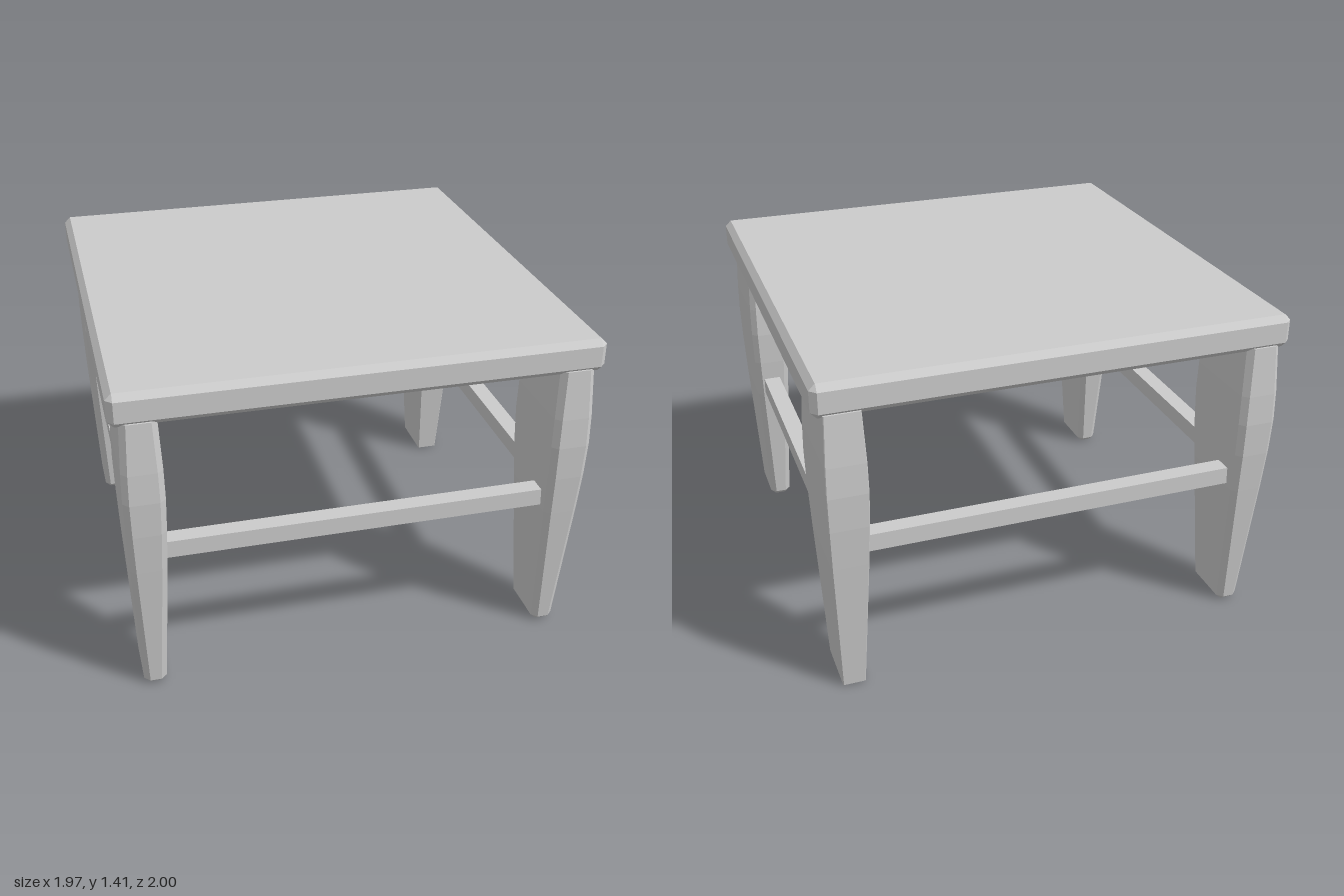
import * as THREE from 'three';

const material = new THREE.MeshStandardMaterial({ color: 0xcccccc, flatShading: true });

// Solid through stacked rectangles with cut corners; each section is [y, halfX, halfZ, cornerCut]
function loft(sections) {
  const positions = [], index = [];
  for (const [y, hx, hz, c] of sections) {
    const ring = [
      [hx, hz - c], [hx, c - hz], [hx - c, -hz], [c - hx, -hz],
      [-hx, c - hz], [-hx, hz - c], [c - hx, hz], [hx - c, hz],
    ];
    for (const [x, z] of ring) positions.push(x, y, z);
  }
  const top = (sections.length - 1) * 8;
  for (let s = 0; s < top; s += 8) {
    for (let i = 0; i < 8; i++) {
      const a = s + i, b = s + (i + 1) % 8;
      index.push(a, b, b + 8, a, b + 8, a + 8);
    }
  }
  for (let i = 1; i < 7; i++) {
    index.push(0, i + 1, i);
    index.push(top, top + i, top + i + 1);
  }
  const indexed = new THREE.BufferGeometry();
  indexed.setAttribute('position', new THREE.Float32BufferAttribute(positions, 3));
  indexed.setIndex(index);
  const geometry = indexed.toNonIndexed();
  geometry.computeVertexNormals();
  return geometry;
}

// Leg that swells at about two thirds of its height, with all edges bevelled
function legGeometry(bevel) {
  return loft([
    [0, 0.047 - bevel, 0.12 - bevel, 0.001],
    [bevel, 0.048, 0.122, bevel],
    [0.62, 0.074, 0.183, bevel],
    [0.8, 0.08, 0.2, bevel],
    [0.95, 0.083, 0.207, bevel],
    [1.08, 0.081, 0.204, bevel],
    [1.29, 0.072, 0.19, bevel],
  ]);
}

export function createModel() {
  const group = new THREE.Group();
  const add = (name, geometry, x = 0, y = 0, z = 0) => {
    const mesh = new THREE.Mesh(geometry, material);
    mesh.name = name;
    mesh.position.set(x, y, z);
    group.add(mesh);
  };

  // Square seat with bevelled edges
  const half = 0.986, bevel = 0.026;
  add('seat', loft([
    [1.275, half - bevel, half - bevel, 0.001],
    [1.275 + bevel, half, half, bevel],
    [1.415 - bevel, half, half, bevel],
    [1.415, half - bevel, half - bevel, 0.001],
  ]));

  // Four legs; the back left one has almost sharp edges
  const bevelled = legGeometry(0.024), sharp = legGeometry(0.003);
  for (const sx of [-1, 1]) {
    for (const sz of [-1, 1]) {
      const name = (sz > 0 ? 'front' : 'back') + (sx > 0 ? 'Left' : 'Right') + 'Leg';
      add(name, sx > 0 && sz < 0 ? sharp : bevelled, sx * 0.872, 0, sz * 0.793);
    }
  }

  // Stretchers joining neighbouring legs, set towards the outside
  const thick = 0.075, height = 0.673;
  const crossBar = new THREE.BoxGeometry(1.62, thick, thick);
  const sideBar = new THREE.BoxGeometry(thick, thick, 1.24);
  for (const s of [-1, 1]) {
    add(s > 0 ? 'frontStretcher' : 'backStretcher', crossBar, 0, height, s * 0.88);
    add(s > 0 ? 'leftStretcher' : 'rightStretcher', sideBar, s * 0.878, height, 0);
  }
  return group;
}
